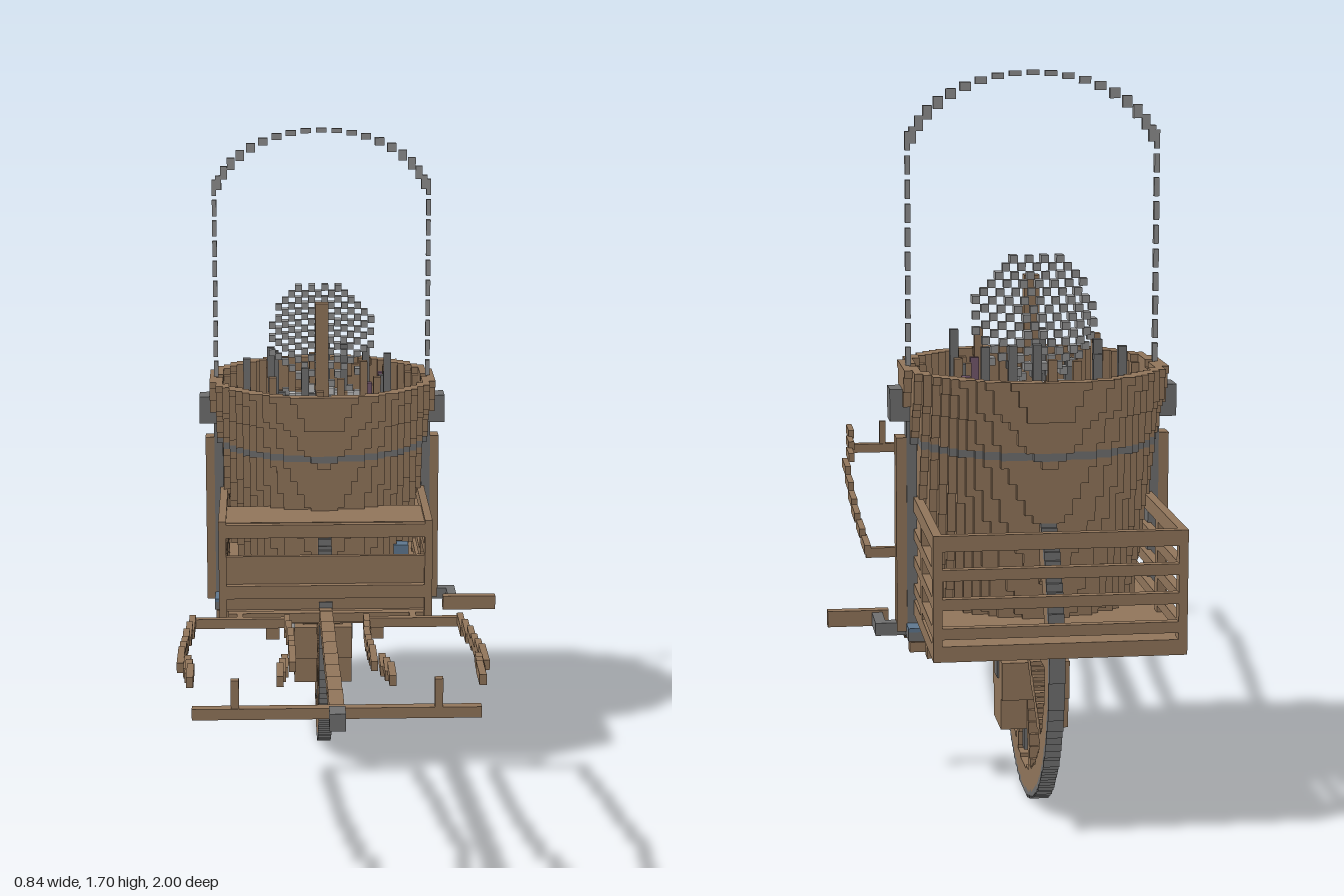
import * as THREE from 'three';

const material = (name, color) => {
  const m = new THREE.MeshStandardMaterial({ color });
  m.name = name;
  return m;
};

const CX = -0.06, CZ = -0.545; // axis of bucket and wheel
const V = 0.018;               // size of one block

export function createModel() {
  const wood = material('wood', 0x92765b);
  const iron = material('iron', 0x707070);
  const tin = material('tin', 0x909090);
  const steel = material('blue steel', 0x5f7890);
  const pale = material('pale metal', 0xbebebe);
  const plum = material('plum', 0x75586e);
  const model = new THREE.Group();
  let parent = model;

  const group = (name) => {
    parent = new THREE.Group();
    parent.name = name;
    model.add(parent);
  };

  // Box given by its lower and upper bounds on each axis
  const box = (name, mat, x0, x1, y0, y1, z0, z1) => {
    const m = new THREE.Mesh(new THREE.BoxGeometry(x1 - x0, y1 - y0, z1 - z0), mat);
    m.name = name;
    m.position.set((x0 + x1) / 2, (y0 + y1) / 2, (z0 + z1) / 2);
    parent.add(m);
  };

  // Stepped bar: a run of boxes that climbs from a to b along z
  const steppedBar = (name, mat, a, b, n, w, h) => {
    for (let i = 0; i < n; i++) {
      const t = i / (n - 1);
      const x = a[0] + (b[0] - a[0]) * t, y = a[1] + (b[1] - a[1]) * t;
      const z0 = a[2] + (b[2] - a[2]) * i / n, z1 = a[2] + (b[2] - a[2]) * (i + 1) / n;
      box(name, mat, x - w / 2, x + w / 2, y - h / 2, y + h / 2, z0 - 0.008, z1 + 0.008);
    }
  };

  // Block solid: outer faces of all cells accepted by the rule, around (CX, 0, CZ)
  const blocks = (name, mat, lo, hi, rule, s = V) => {
    const pos = [], index = [];
    const min = lo.map((c) => Math.floor(c / s)), max = hi.map((c) => Math.ceil(c / s));
    const solid = (c) => c.every((k, a) => k >= min[a] && k < max[a])
      && rule(...c.map((k) => (k + 0.5) * s), ...c);
    for (let i = min[0]; i < max[0]; i++) for (let j = min[1]; j < max[1]; j++) for (let k = min[2]; k < max[2]; k++) {
      const c = [i, j, k];
      if (!solid(c)) continue;
      for (let d = 0; d < 3; d++) for (const side of [1, -1]) {
        const next = [...c];
        next[d] += side;
        if (solid(next)) continue;
        const n = pos.length / 3, u = (d + 1) % 3, v = (d + 2) % 3;
        for (const [p, q] of [[0, 0], [1, 0], [1, 1], [0, 1]]) {
          const e = [...c];
          e[d] += side > 0 ? 1 : 0;
          e[u] += p;
          e[v] += q;
          pos.push(e[0] * s + CX, e[1] * s, e[2] * s + CZ);
        }
        if (side > 0) index.push(n, n + 1, n + 2, n, n + 2, n + 3);
        else index.push(n, n + 2, n + 1, n, n + 3, n + 2);
      }
    }
    const g = new THREE.BufferGeometry();
    g.setAttribute('position', new THREE.Float32BufferAttribute(pos, 3));
    g.setIndex(index);
    g.computeVertexNormals();
    const m = new THREE.Mesh(g, mat);
    m.name = name;
    parent.add(m);
  };

  // Bucket: tapered wall, floor and hoop
  group('bucket');
  const radius = (y) => 0.312 - (1.03 - y) * 0.135 - (y < 0.93 ? 0.006 : 0);
  const inHoop = (y) => y > 0.846 && y < 0.864;
  const wall = (x, y, z) => {
    const r = Math.hypot(x, z), R = radius(y);
    return r < R && (r > R - 0.03 || y < 0.42);
  };
  const lo = [-0.33, 0.397, -0.33], hi = [0.33, 1.02, 0.33];
  blocks('bucketWall', wood, lo, hi, (x, y, z) => wall(x, y, z) && !inHoop(y));
  blocks('bucketHoop', iron, lo, hi, (x, y, z) => wall(x, y, z) && inHoop(y));
  for (const s of [-1, 1]) {
    const x = CX + s * 0.31;
    box('handlePivot', iron, x - 0.025, x + 0.025, 0.9, 0.975, -0.58, -0.512);
  }

  // Bail: thin broken hoop over the bucket
  group('bail');
  for (const s of [-1, 1]) {
    const x = CX + s * 0.289;
    for (let y = 0.97; y < 1.52; y += 0.055) box('bailSide', tin, x - 0.006, x + 0.006, y, y + 0.043, -0.552, -0.538);
  }
  for (let i = 2; i < 21; i++) {
    const a = Math.PI * i / 22, x = CX + 0.289 * Math.cos(a), y = 1.5 + 0.195 * Math.sin(a);
    const w = 0.006 + 0.008 * Math.sin(a), h = 0.006 + 0.014 * Math.cos(a) ** 2;
    box('bailTop', tin, x - w, x + w, y - h, y + h, -0.552, -0.538);
  }

  // Contents: mottled heap, sieve and utensils
  group('contents');
  const hash = (i, k) => Math.abs(Math.sin(i * 12.99 + k * 78.23) * 43758.5) % 1;
  const shares = [[pale, 0, 0.82], [tin, 0.82, 0.9], [wood, 0.9, 0.97], [plum, 0.97, 1]];
  for (const [mat, from, to] of shares) {
    blocks('heap', mat, [-0.15, 0.88, -0.15], [0.15, 0.97, 0.15], (x, y, z, i, j, k) => {
      const h = hash(i, k);
      return h >= from && h < to && Math.hypot(x, z) < 0.14 + 0.03 * hash(i, k + 9) && y < 0.93 + 0.04 * hash(k, i);
    });
  }
  blocks('sieve', tin, [-0.15, 1.0, -0.15], [0.15, 1.285, 0.02], (x, y, z, i, j) => {
    const r = Math.hypot(x, y - 1.14), depth = -0.13 * Math.sqrt(Math.max(0, 1 - (r / 0.145) ** 2)) * (1.28 - y) / 0.2;
    return r < 0.145 && Math.abs(z - Math.max(depth, -0.13)) < 0.012 && (i + j) % 2 === 0;
  });
  box('sieveHandle', wood, CX - 0.018, CX + 0.018, 0.88, 1.23, -0.54, -0.51);
  for (let i = 0; i < 22; i++) {
    const a = i * 2.4, r = 0.15 + 0.06 * hash(i, 1), x = CX + r * Math.cos(a), z = CZ + r * Math.sin(a);
    const mat = i % 11 === 5 ? plum : i % 2 ? wood : iron;
    box('utensil', mat, x - 0.01, x + 0.01, 0.75, 1.01 + 0.09 * hash(i, 5), z - 0.01, z + 0.01);
  }

  // Wheel: iron tyre, wooden rim and ten spokes
  group('wheel');
  const flat = (test) => (x, y, z) => test(Math.hypot(y - 0.4, z), Math.atan2(y - 0.4, z));
  const wlo = [-0.017, 0, -0.414], whi = [0.017, 0.81, 0.414];
  blocks('tyre', iron, wlo, whi, flat((r) => r > 0.388 && r < 0.402), V / 2);
  blocks('rimAndSpokes', wood, wlo, whi, flat((r, a) => {
    const step = Math.PI / 5, off = a - Math.round(a / step) * step;
    return r <= 0.388 && (r > 0.335 || Math.abs(r * Math.sin(off)) < 0.016);
  }), V / 2);
  box('hubBlock', wood, CX - 0.08, CX + 0.08, 0.165, 0.24, CZ - 0.062, CZ + 0.062);
  box('hubBlock', wood, CX - 0.08, CX + 0.08, 0.24, 0.33, CZ - 0.08, CZ + 0.08);
  box('hubCap', wood, CX - 0.055, CX + 0.055, 0.33, 0.385, CZ - 0.05, CZ + 0.05);
  box('hubStrap', iron, CX - 0.084, CX + 0.084, 0.28, 0.345, CZ - 0.025, CZ + 0.025);
  box('hubTie', plum, CX - 0.08, CX + 0.08, 0.345, 0.365, CZ - 0.025, CZ + 0.025);
  box('hubPin', iron, CX - 0.018, CX + 0.018, 0.1, 0.165, CZ - 0.016, CZ + 0.016);
  box('axle', iron, -0.36, 0.24, 0.385, 0.42, -0.563, -0.527);

  // Cart bed with front locker and slatted sides
  group('cart');
  box('deck', wood, -0.34, 0.22, 0.44, 0.475, -1, -0.14);
  box('lockerLid', wood, -0.325, 0.205, 0.69, 0.712, -0.33, -0.155);
  box('frontPanel', wood, -0.325, 0.205, 0.475, 0.62, -0.17, -0.155);
  for (const y of [0.51, 0.675]) box('frontRail', wood, -0.34, 0.22, y, y + 0.035, -0.155, -0.135);
  const rails = [0.49, 0.555, 0.62, 0.685];
  for (const s of [-1, 1]) {
    const x = CX + s * 0.27;
    for (const y of rails) box('sideRail', wood, x - 0.01, x + 0.01, y, y + (y > 0.68 ? 0.035 : 0.025), -1, -0.14);
    for (const z of [-0.985, -0.74, -0.35, -0.15]) box('sidePost', wood, x - 0.01, x + 0.01, 0.44, 0.72, z - 0.015, z + 0.015);
    // upright that carries the bucket, with its bearing below
    const p = CX + s * 0.308, q = CX + s * 0.284, b = CX + s * 0.268;
    box('upright', wood, p - 0.012, p + 0.012, 0.4, 0.86, -0.57, -0.52);
    box('uprightStrap', iron, q - 0.012, q + 0.012, 0.42, 0.9, -0.572, -0.518);
    box('bearing', iron, b - 0.03, b + 0.03, 0.388, 0.41, -0.62, -0.45);
    box('bearingPlate', steel, b - 0.03, b + 0.03, 0.41, 0.419, -0.62, -0.45);
  }
  for (const y of rails) box('backRail', wood, -0.34, 0.22, y, y + (y > 0.68 ? 0.035 : 0.025), -1, -0.98);
  for (const z of [-0.3, -0.8]) box('underBeam', wood, -0.335, 0.215, 0.4, 0.44, z - 0.018, z + 0.018);
  for (const z of [-0.47, -0.6]) box('axleBeam', wood, -0.355, 0.235, 0.362, 0.385, z - 0.018, z + 0.018);
  for (const x of [-0.2, 0.08]) box('underRunner', wood, x - 0.018, x + 0.018, 0.36, 0.4, -0.48, -0.26);
  // small tools stowed beside and under the bucket
  box('stowedBlade', steel, 0.13, 0.17, 0.475, 0.59, -0.41, -0.37);
  box('stowedTin', pale, -0.18, -0.14, 0.395, 0.44, -0.275, -0.25);

  // Crank on the end of the axle
  group('crank');
  box('crankShaft', iron, 0.24, 0.31, 0.39, 0.42, -0.565, -0.535);
  box('crankArm', iron, 0.285, 0.31, 0.39, 0.42, -0.565, -0.44);
  box('crankHandle', wood, 0.27, 0.415, 0.387, 0.425, -0.46, -0.435);

  // Pole, crossbar and the two pairs of traces
  group('drawGear');
  steppedBar('pole', wood, [CX, 0.465, -0.2], [CX, 0.555, 0.93], 9, 0.034, 0.03);
  box('poleTip', iron, CX - 0.018, CX + 0.018, 0.54, 0.58, 0.945, 1);
  box('crossbar', wood, -0.38, 0.26, 0.55, 0.575, 0.92, 0.945);
  box('swingBar', wood, -0.315, 0.195, 0.46, 0.485, -0.11, -0.085);
  for (const s of [-1, 1]) {
    const x = CX + s * 0.225;
    box('crossbarPin', wood, x - 0.009, x + 0.009, 0.57, 0.64, 0.925, 0.943);
    box('swingLink', wood, x - 0.008, x + 0.008, 0.465, 0.485, -0.1, -0.04);
    box('traceBar', wood, x - 0.127, x + 0.127, 0.46, 0.485, -0.055, -0.035);
    for (const e of [-1, 1]) {
      const start = x + e * 0.122, wide = start + e * 0.008;
      steppedBar('trace', wood, [start, 0.48, -0.045], [wide, 0.515, 0.3], 3, 0.016, 0.024);
      steppedBar('trace', wood, [wide, 0.53, 0.3], [wide, 0.575, 0.64], 3, 0.016, 0.024);
      steppedBar('trace', wood, [start - e * 0.01, 0.59, 0.64], [start - e * 0.022, 0.625, 0.9], 3, 0.016, 0.024);
    }
  }
  return model;
}
